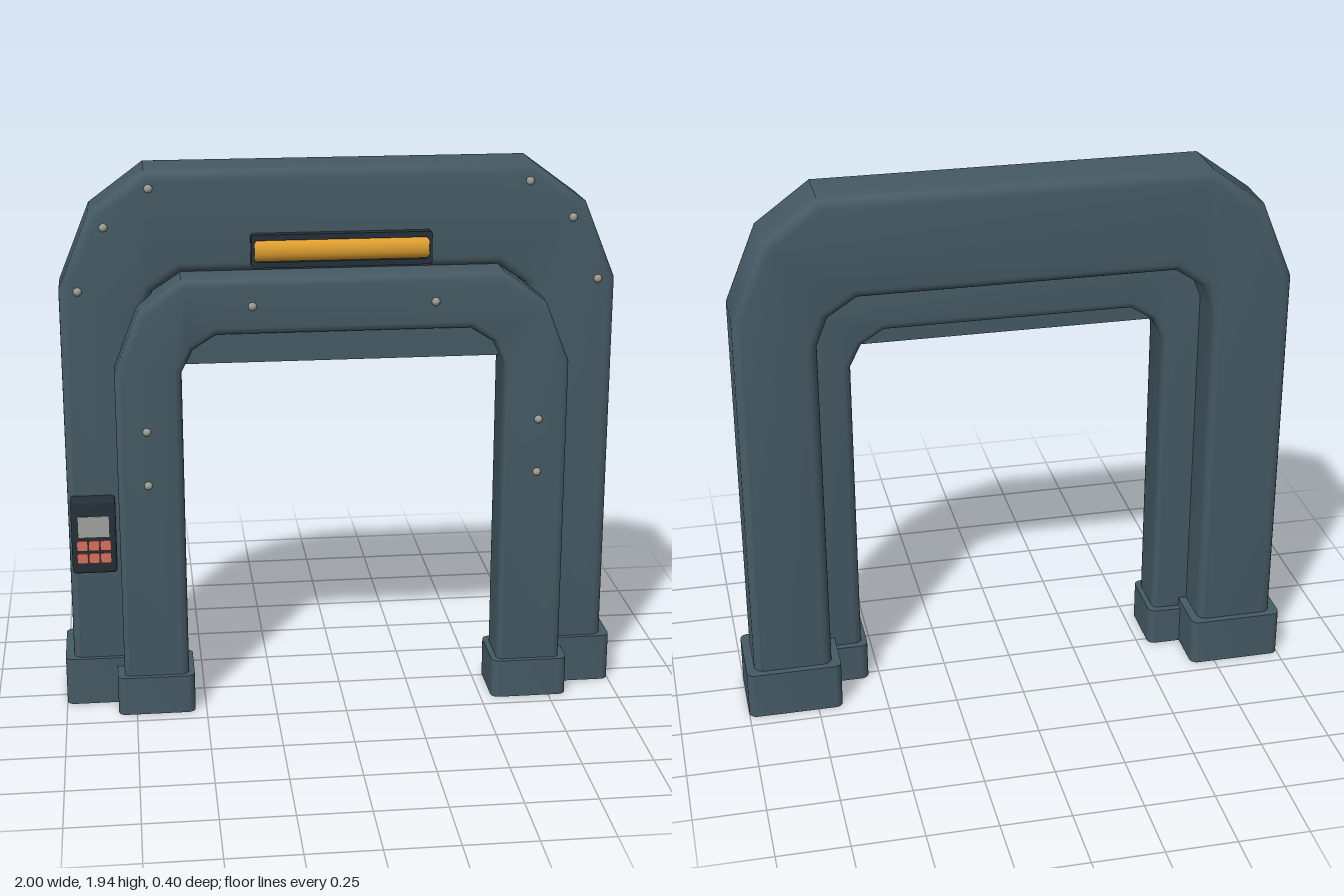
import * as THREE from 'three';
import { toCreasedNormals } from 'three/addons/utils/BufferGeometryUtils.js';

const mat = (name, color) => {
  const m = new THREE.MeshStandardMaterial({ color });
  m.name = name;
  return m;
};

export function createModel() {
  const slate = mat('slate blue', 0x455a64);
  const dark = mat('dark casing', 0x263038);
  const amber = mat('amber lamp', 0xe0a030);
  const grey = mat('screen grey', 0xa0a4a0);
  const red = mat('button red', 0xd9705f);
  const steel = mat('bolt steel', 0x9a9a92);

  const group = new THREE.Group();
  group.name = 'scannerGate';
  const add = (name, geo, material, x = 0, y = 0, z = 0, parent = group) => {
    const mesh = new THREE.Mesh(geo, material);
    mesh.name = name;
    mesh.position.set(x, y, z);
    parent.add(mesh);
    return mesh;
  };

  // Extrusion from z0 to z1 with rounded edges kept inside the outline
  const slab = (shape, z0, z1, r, segments = 5) => {
    const geo = new THREE.ExtrudeGeometry(shape, {
      depth: z1 - z0 - 2 * r, bevelEnabled: r > 0, bevelThickness: r, bevelSize: r,
      bevelOffset: -r, bevelSegments: segments, curveSegments: 5,
    });
    geo.translate(0, 0, z0 + r);
    return toCreasedNormals(geo, 0.6);
  };

  const roundRect = (w, h, r) => {
    const s = new THREE.Shape();
    const a = w / 2, b = h / 2;
    s.absarc(a - r, b - r, r, 0, Math.PI / 2);
    s.absarc(r - a, b - r, r, Math.PI / 2, Math.PI);
    s.absarc(r - a, r - b, r, Math.PI, Math.PI * 1.5);
    s.absarc(a - r, r - b, r, Math.PI * 1.5, Math.PI * 2);
    s.closePath();
    return s;
  };

  // Arch outline: mirrored half profiles of the outer and inner edges
  const archShape = (outer, inner) => {
    const flip = (pts) => pts.map(([x, y]) => [-x, y]);
    const loop = [
      ...outer, ...flip(outer).reverse(),
      ...flip(inner), ...[...inner].reverse(),
    ];
    return new THREE.Shape(loop.map(([x, y]) => new THREE.Vector2(x, y)));
  };

  // Large rear arch and smaller front arch
  add('rearArch', slab(archShape(
    [[0.97, 0.02], [0.97, 1.53], [0.86, 1.8], [0.67, 1.94]],
    [[0.69, 0.02], [0.69, 1.42], [0.65, 1.52], [0.55, 1.585]]), -0.175, 0.068, 0.035), slate);
  add('frontArch', slab(archShape(
    [[0.79, 0.02], [0.79, 1.26], [0.705, 1.475], [0.555, 1.585]],
    [[0.56, 0.02], [0.56, 1.26], [0.52, 1.34], [0.44, 1.39]]), -0.01, 0.178, 0.025), slate);

  // Thin header plate hanging inside the front arch
  add('headerPlate', new THREE.BoxGeometry(1.14, 0.16, 0.02), slate, 0, 1.366, 0.138);

  // Feet
  const foot = (name, x0, x1, z0, z1, h) => {
    const geo = slab(roundRect(x1 - x0, z1 - z0, 0.028), 0, h, 0);
    geo.rotateX(-Math.PI / 2);
    for (const s of [-1, 1]) add(name, geo, slate, s * (x0 + x1) / 2, 0, (z0 + z1) / 2);
  };
  foot('rearFoot', 0.66, 1.0, -0.2, 0.085, 0.175);
  foot('frontFoot', 0.54, 0.815, -0.035, 0.197, 0.142);

  // Bolts: domed heads on both arches
  const boltGeo = new THREE.SphereGeometry(0.015, 14, 5, 0, Math.PI * 2, 0, Math.PI / 2);
  boltGeo.rotateX(Math.PI / 2);
  const bolts = [
    [0.655, 1.88, 0.067], [0.81, 1.75, 0.067], [0.905, 1.53, 0.067],
    [0.315, 1.49, 0.177], [0.685, 1.055, 0.177], [0.685, 0.86, 0.177],
  ];
  for (const [x, y, z] of bolts)
    for (const s of [-1, 1]) add('bolt', boltGeo, steel, s * x, y, z);

  // Lamp: framed amber bar with a bulging face
  const lamp = new THREE.Group();
  lamp.name = 'lamp';
  lamp.position.set(0, 1.662, 0);
  group.add(lamp);
  const frame = roundRect(0.625, 0.115, 0.01);
  frame.holes.push(new THREE.Path(roundRect(0.6, 0.076, 0.012).getPoints(4).reverse()));
  add('lampFrame', slab(frame, 0.06, 0.102, 0), dark, 0, 0, 0, lamp);
  const bar = new THREE.CylinderGeometry(0.039, 0.039, 0.602, 24);
  bar.rotateZ(Math.PI / 2);
  const glow = add('lampBar', bar, amber, 0, 0, 0.08, lamp);
  glow.scale.z = 0.75;

  // Control panel with screen and six buttons
  const panel = new THREE.Group();
  panel.name = 'controlPanel';
  panel.position.set(-0.881, 0.657, 0);
  group.add(panel);
  add('panelCase', slab(roundRect(0.157, 0.272, 0.014), 0.05, 0.126, 0.01, 3), dark, 0, 0, 0, panel);
  add('panelScreen', new THREE.BoxGeometry(0.108, 0.076, 0.004), grey, 0, 0.04, 0.127, panel);
  const button = slab(roundRect(0.037, 0.037, 0.006), 0, 0.008, 0);
  for (let i = -1; i <= 1; i++)
    for (const y of [-0.03, -0.077])
      add('panelButton', button, red, i * 0.041, y, 0.123, panel);

  return group;
}
